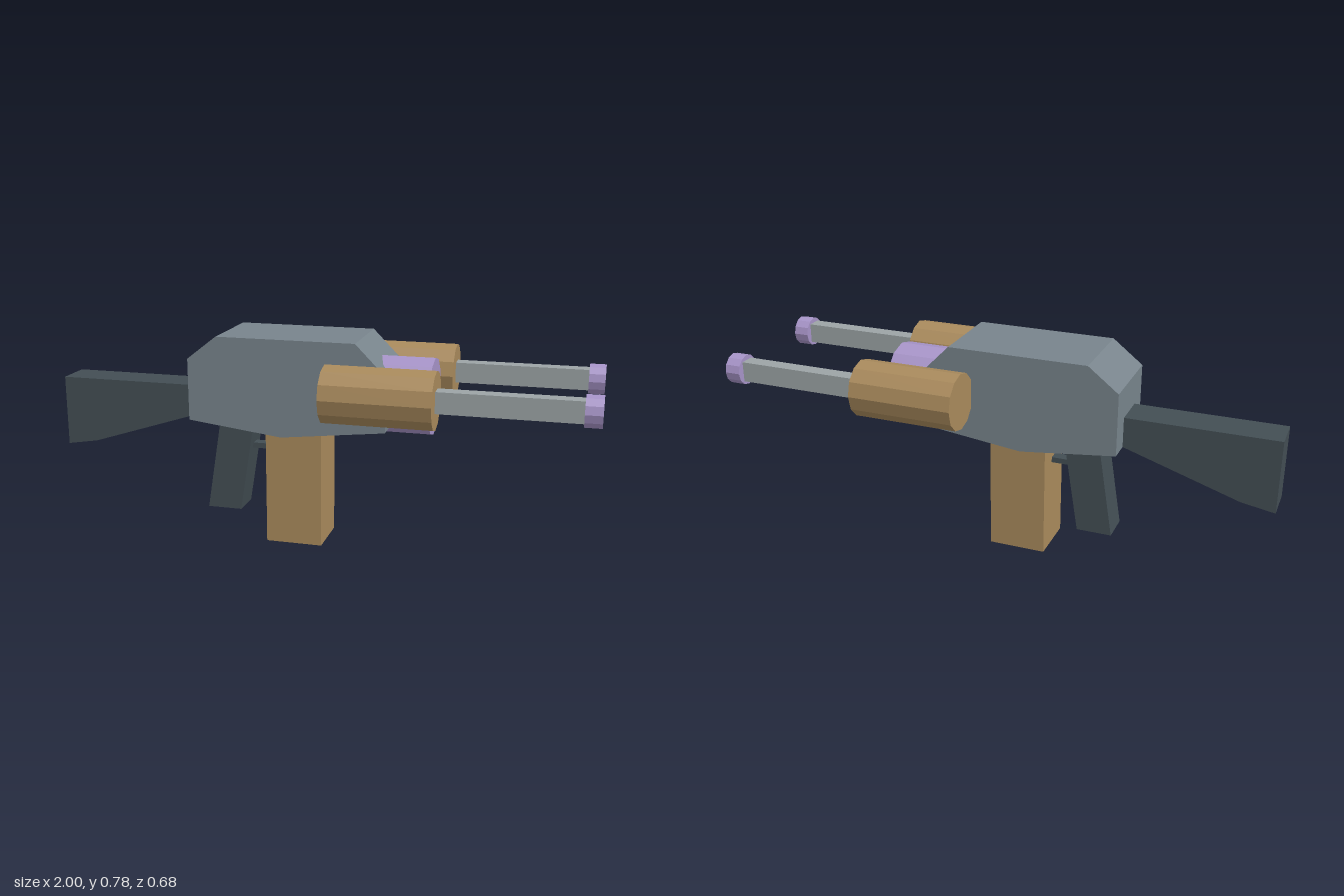
import * as THREE from 'three';

const mat = (color) => new THREE.MeshStandardMaterial({ color, flatShading: true });

export function createModel() {
  const group = new THREE.Group();
  const slate = mat(0x78848c), dark = mat(0x434e54), tan = mat(0xa98a5c);
  const lilac = mat(0xa794c8), steel = mat(0x9ca4a6);

  const add = (name, geometry, material, x = 0, y = 0, z = 0) => {
    const mesh = new THREE.Mesh(geometry, material);
    mesh.name = name;
    mesh.position.set(x, y, z);
    group.add(mesh);
    return mesh;
  };

  // Side profile in x/y, extruded evenly about z = 0
  const slab = (name, points, width, material) => {
    const shape = new THREE.Shape(points.map(([x, y]) => new THREE.Vector2(x, y)));
    const geometry = new THREE.ExtrudeGeometry(shape, { depth: width, bevelEnabled: false });
    return add(name, geometry.translate(0, 0, -width / 2), material);
  };

  // Twelve-sided drum lying along x, with a corner at the top
  const drum = (name, x0, x1, radius, y, z, material) => {
    const geometry = new THREE.CylinderGeometry(radius, radius, x1 - x0, 12).rotateZ(Math.PI / 2);
    return add(name, geometry, material, (x0 + x1) / 2, y, z);
  };

  // Main housing with chamfered top and keeled underside
  slab('body', [[-0.46, 0.465], [-0.11, 0.423], [0.27, 0.467], [0.27, 0.667],
    [0.16, 0.778], [-0.35, 0.778], [-0.46, 0.692]], 0.302, slate);

  // Shoulder stock and raked grip
  slab('stock', [[-1, 0.31], [-0.88, 0.33], [-0.45, 0.468], [-0.45, 0.575], [-1, 0.575]], 0.137, dark);
  slab('grip', [[-0.43, 0.1], [-0.3, 0.1], [-0.24, 0.47], [-0.37, 0.47]], 0.116, dark);
  add('trigger', new THREE.BoxGeometry(0.09, 0.02, 0.04), dark, -0.225, 0.346, 0);

  // Magazine
  add('magazine', new THREE.BoxGeometry(0.21, 0.432, 0.194), tan, -0.08, 0.216, 0);

  // Central nose
  drum('nose', 0.205, 0.417, 0.14, 0.573, 0, lilac);

  // Twin side barrels
  for (const side of [1, -1]) {
    const z = side * 0.238, y = 0.617;
    const label = side > 0 ? 'front' : 'rear';
    drum(label + 'BarrelSleeve', 0.075, 0.46, 0.103, y, z, tan);
    add(label + 'BarrelRod', new THREE.BoxGeometry(0.5, 0.075, 0.055), steel, 0.7, y, z);
    drum(label + 'BarrelTip', 0.942, 1, 0.056, y, z, lilac);
  }

  return group;
}
